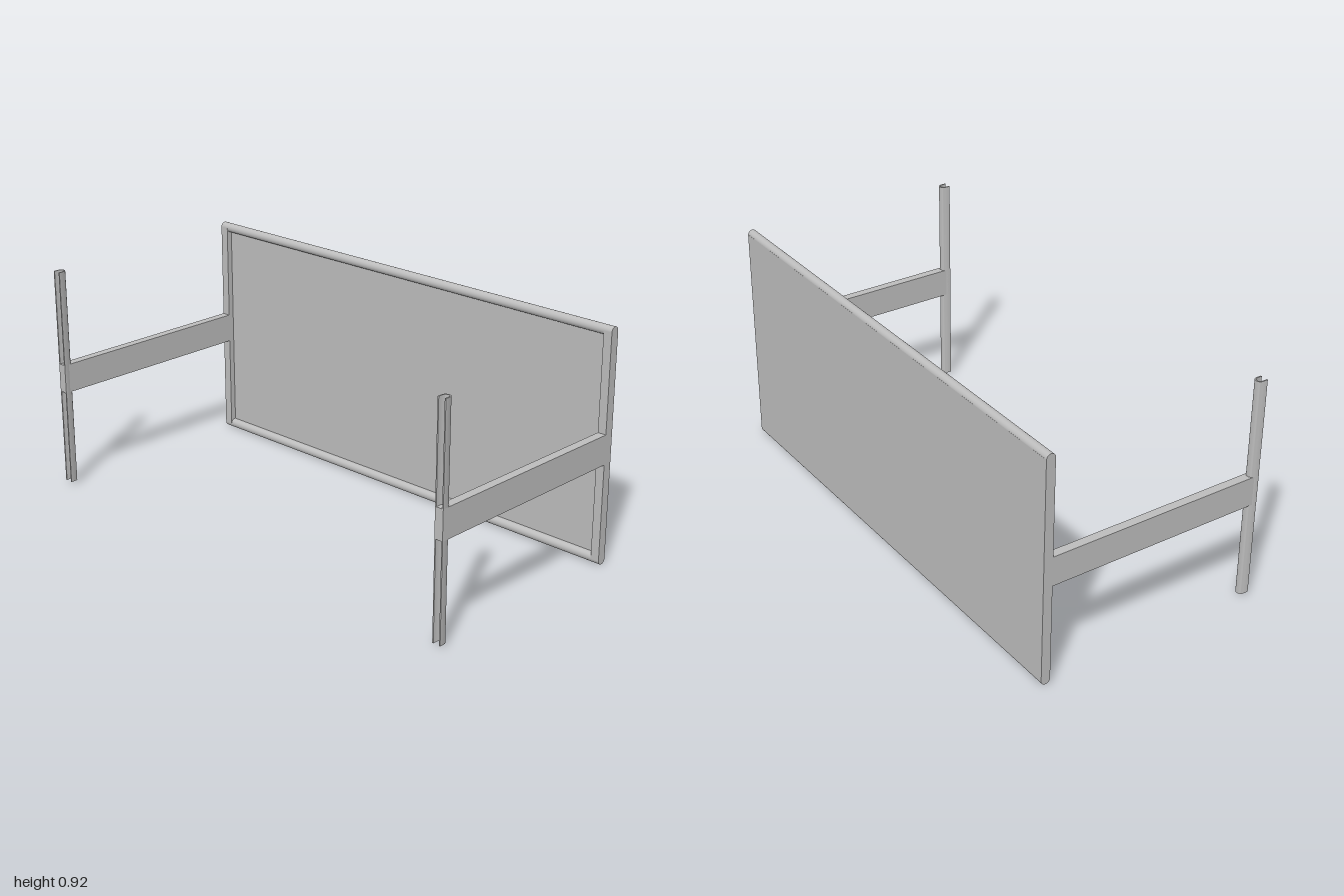
import * as THREE from 'three';
import { toCreasedNormals } from 'three/addons/utils/BufferGeometryUtils.js';

const grey = new THREE.MeshStandardMaterial({ color: 0xbcbcbc });
grey.name = 'grey metal';

function add(parent, name, geometry, x, y, z) {
  const mesh = new THREE.Mesh(geometry, grey);
  mesh.name = name;
  mesh.position.set(x, y, z);
  parent.add(mesh);
  return mesh;
}

// Upright channel: rounded towards the back, open slot towards the front
function channelGeometry(height) {
  const r = 0.0175, inner = 0.0125, front = -0.02;
  const s = new THREE.Shape();
  s.moveTo(r, front);
  s.lineTo(r, 0);
  s.absarc(0, 0, r, 0, Math.PI, false);
  s.lineTo(-r, front);
  s.lineTo(-inner, front);
  s.lineTo(-inner, 0);
  s.absarc(0, 0, inner, Math.PI, 0, true);
  s.lineTo(inner, front);
  s.closePath();
  const g = new THREE.ExtrudeGeometry(s, { depth: height, bevelEnabled: false, curveSegments: 16 });
  g.rotateX(-Math.PI / 2);
  return toCreasedNormals(g, 0.6);
}

export function createModel() {
  const group = new THREE.Group();
  group.name = 'panelFrame';

  // The whole frame leans and turns by a hair
  const frame = new THREE.Group();
  frame.name = 'frame';
  frame.position.y = 0.46;
  frame.rotation.set(0.0045, 0.002, 0);
  group.add(frame);
  const body = new THREE.Group();
  body.name = 'body';
  body.position.y = -0.46;
  frame.add(body);

  // Back panel, flush with the rear of the rails
  add(body, 'panel', new THREE.BoxGeometry(1.99, 0.884, 0.014), 0, 0.46, -0.453);

  // Round rails along the top and bottom edges
  for (const [name, y] of [['topRail', 0.9], ['bottomRail', 0.019]]) {
    const rail = new THREE.CylinderGeometry(0.0185, 0.0185, 2, 28);
    rail.rotateZ(Math.PI / 2);
    add(body, name, rail, 0, y, -0.4415);
  }

  for (const side of [-1, 1]) {
    const label = side > 0 ? 'left' : 'right';
    const x = side * 0.9825;
    // Edge bar of the panel
    add(body, label + 'EdgeBar', new THREE.BoxGeometry(0.035, 0.882, 0.037), x, 0.46, -0.4415);
    // Horizontal arm
    add(body, label + 'Arm', new THREE.BoxGeometry(0.035, 0.116, 0.885), x, 0.459, 0.0185);
    // Slotted front post
    add(body, label + 'Post', channelGeometry(0.882), x, 0.017, 0.4405);
  }
  return group;
}
